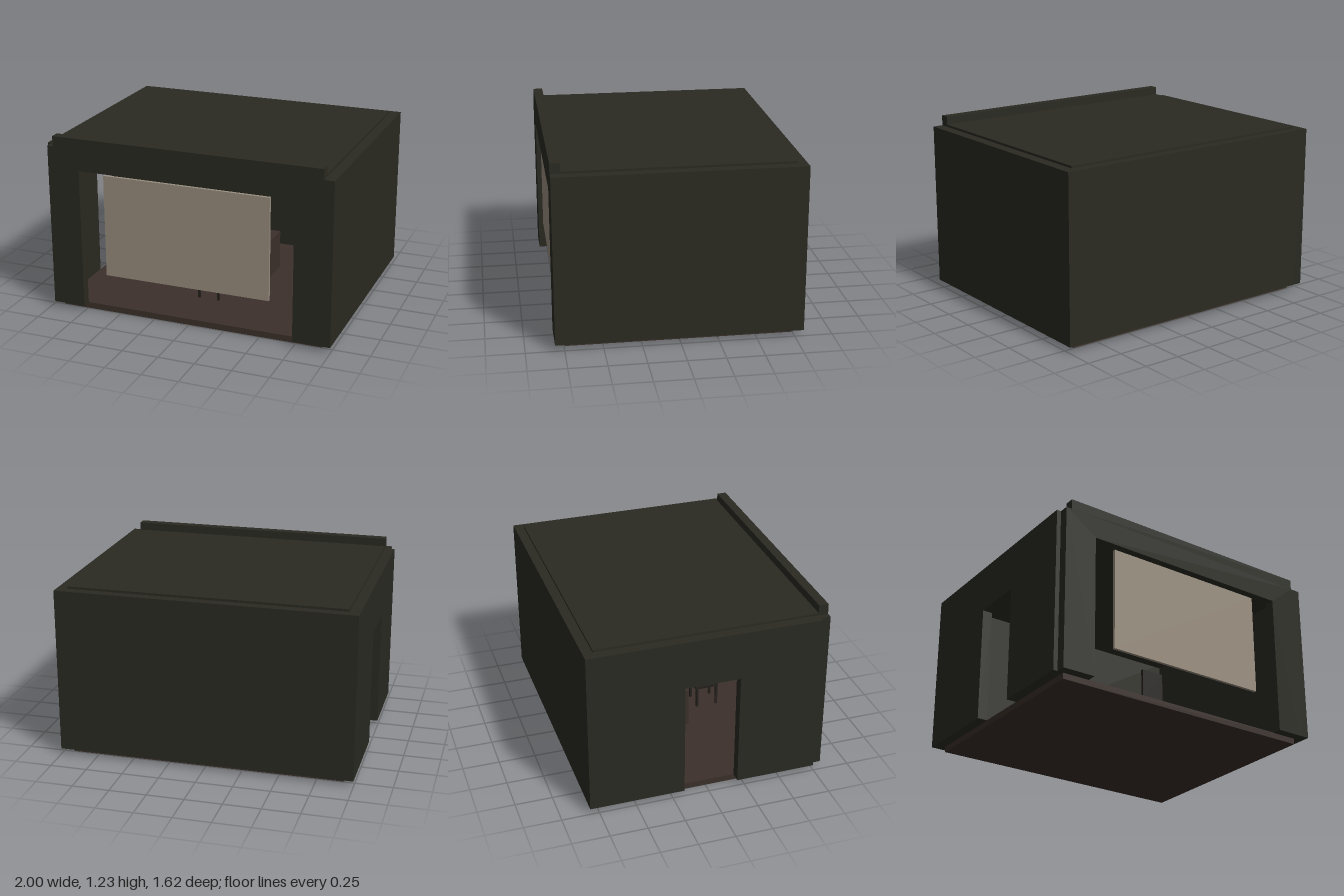
import * as THREE from 'three';

const material = (color, opts = {}) => new THREE.MeshStandardMaterial({ color, ...opts });
const wallMat = material(0x2a2a22);
const floorMat = material(0x3b302a);
const panelMat = material(0x9a8f80);
const paperMat = material(0xe8e8e4);
const seatMat = material(0x24211d);

// Box given by its minimum and maximum on each axis
function box(name, mat, [x0, x1], [y0, y1], [z0, z1]) {
  const mesh = new THREE.Mesh(new THREE.BoxGeometry(x1 - x0, y1 - y0, z1 - z0), mat);
  mesh.position.set((x0 + x1) / 2, (y0 + y1) / 2, (z0 + z1) / 2);
  mesh.name = name;
  return mesh;
}

// Upright wall in the xy plane with an opening that reaches its lower edge
function wallWithOpening(name, [a0, a1], [o0, o1], openingTop, thickness) {
  const outline = [
    [a0, 0.04], [o0, 0.04], [o0, openingTop], [o1, openingTop],
    [o1, 0.04], [a1, 0.04], [a1, 1.16], [a0, 1.16],
  ];
  const shape = new THREE.Shape(outline.map(([x, y]) => new THREE.Vector2(x, y)));
  const geometry = new THREE.ExtrudeGeometry(shape, { depth: thickness, bevelEnabled: false });
  const mesh = new THREE.Mesh(geometry, wallMat);
  mesh.name = name;
  return mesh;
}

function createDesk() {
  const desk = new THREE.Group();
  desk.name = 'desk';
  desk.add(box('deskTop', floorMat, [-0.27, 0.27], [0.29, 0.32], [-0.32, 0.11]));
  desk.add(box('deskFront', floorMat, [-0.25, 0.25], [0.05, 0.29], [0.07, 0.1]));
  for (const s of [-1, 1]) {
    const x = [0.25, 0.27].map((v) => v * s).sort((a, b) => a - b);
    desk.add(box('deskSide', floorMat, x, [0.04, 0.29], [-0.32, 0.11]));
  }
  // Loose sheets on the desk
  [[0.02, -0.08, 0.3], [0.12, -0.02, -0.2], [-0.1, -0.15, 0.1]].forEach(([x, z, turn]) => {
    const sheet = box('paper', paperMat, [x - 0.03, x + 0.03], [0.32, 0.323], [z - 0.04, z + 0.04]);
    sheet.rotation.y = turn;
    desk.add(sheet);
  });
  return desk;
}

function createChair() {
  const chair = new THREE.Group();
  chair.name = 'chair';
  chair.add(box('chairSeat', seatMat, [-0.08, 0.08], [0.19, 0.21], [0.23, 0.4]));
  chair.add(box('chairBack', seatMat, [-0.08, 0.08], [0.21, 0.42], [0.38, 0.4]));
  for (const x of [-0.07, 0.07]) {
    for (const z of [0.245, 0.39]) {
      chair.add(box('chairLeg', seatMat, [x - 0.008, x + 0.008], [0.04, 0.19], [z - 0.008, z + 0.008]));
    }
  }
  return chair;
}

export function createModel() {
  const model = new THREE.Group();
  model.name = 'room';

  // Floor and roof slabs
  model.add(box('floor', floorMat, [-0.93, 0.93], [0, 0.042], [-0.745, 0.745]));
  model.add(box('roof', wallMat, [-0.93, 0.93], [1.13, 1.175], [-0.745, 0.745]));

  // Solid walls
  model.add(box('backWall', wallMat, [-0.93, 0.93], [0.04, 1.16], [-0.81, -0.745]));
  model.add(box('leftWall', wallMat, [0.93, 1], [0.04, 1.16], [-0.81, 0.81]));

  // Front wall with the wide opening
  const front = wallWithOpening('frontWall', [-0.97, 0.93], [-0.745, 0.745], 1.01, 0.065);
  front.position.z = 0.745;
  model.add(front);

  // Right wall with the doorway; local x runs along -z
  const side = wallWithOpening('doorWall', [-0.745, 0.81], [-0.2, 0.17], 0.83, 0.07);
  side.rotation.y = Math.PI / 2;
  side.position.x = -1;
  model.add(side);

  // Parapet over the front
  model.add(box('parapet', wallMat, [-0.93, 0.93], [1.16, 1.23], [0.745, 0.81]));

  // Panel hung in the opening
  model.add(box('hangingPanel', panelMat, [-0.58, 0.575], [0.285, 0.99], [0.765, 0.785]));

  model.add(createDesk(), createChair());
  return model;
}
